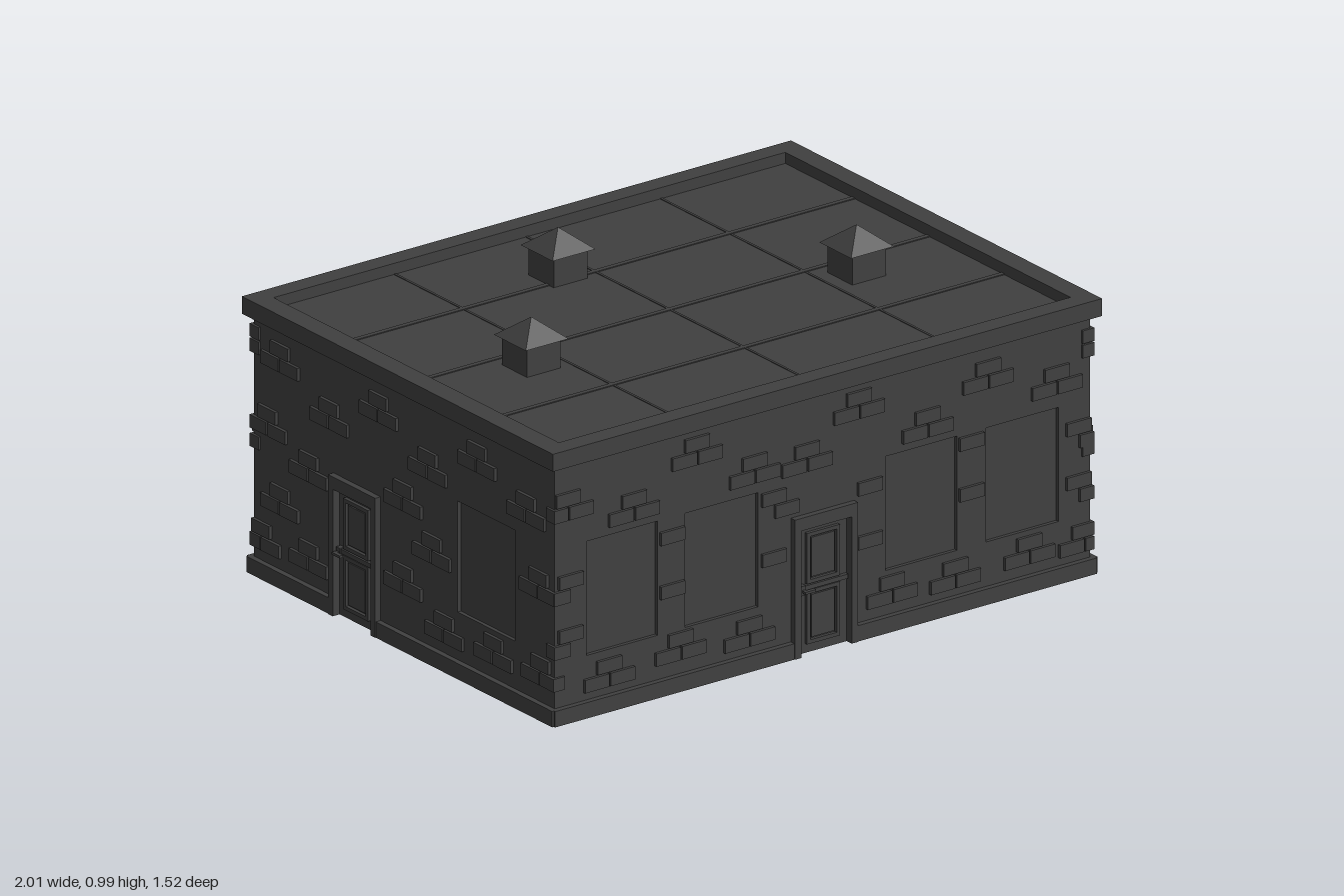
import * as THREE from 'three';
import { mergeGeometries } from 'three/addons/utils/BufferGeometryUtils.js';

const material = new THREE.MeshStandardMaterial({ color: 0x404040, flatShading: true });
const WALL_TOP = 0.83, PLINTH = 0.05, THICK = 0.02;
const DOOR_HALF = 0.115, DOOR_TOP = 0.44;

function add(parent, name, geometry, x = 0, y = 0, z = 0) {
  const mesh = new THREE.Mesh(geometry, material);
  mesh.name = name;
  mesh.position.set(x, y, z);
  parent.add(mesh);
  return mesh;
}

// Box given by its limits
function block(x0, x1, y0, y1, z0, z1) {
  return new THREE.BoxGeometry(x1 - x0, y1 - y0, z1 - z0)
    .translate((x0 + x1) / 2, (y0 + y1) / 2, (z0 + z1) / 2);
}

function rectangle(Type, x0, x1, y0, y1) {
  const r = new Type();
  r.moveTo(x0, y0).lineTo(x1, y0).lineTo(x1, y1).lineTo(x0, y1).closePath();
  return r;
}

// Rectangular ring extruded along z
function ring(outer, inner, depth) {
  const shape = rectangle(THREE.Shape, ...outer);
  shape.holes.push(rectangle(THREE.Path, ...inner));
  return new THREE.ExtrudeGeometry(shape, { depth, bevelEnabled: false });
}

// Raised stones: one brick above two, trimmed at corners and left out over openings
function bricks(half, clusters, openings) {
  const parts = [];
  const brick = (u, y) => {
    const u0 = Math.max(u - 0.044, -half - 0.008), u1 = Math.min(u + 0.044, half + 0.008);
    const y0 = y + 0.002, y1 = y + 0.043;
    const blocked = openings.some(([a, b, c, d]) => u1 > a && u0 < b && y1 > c && y0 < d);
    if (u1 - u0 > 0.02 && !blocked) parts.push(block(u0, u1, y0, y1, -0.032, 0.01));
  };
  for (const [u, y] of clusters) {
    brick(u, y);
    brick(u - 0.047, y - 0.046);
    brick(u + 0.047, y - 0.046);
  }
  return mergeGeometries(parts);
}

// Panelled door with surround and handle
function makeDoor(u) {
  const door = new THREE.Group();
  door.name = 'door';
  add(door, 'doorLeaf', block(-0.092, 0.092, 0, 0.4, -0.02, -0.005));
  for (const s of [-1, 1]) {
    add(door, 'doorJamb', block(s * 0.1035 - 0.0115, s * 0.1035 + 0.0115, 0, 0.4, -0.022, 0.02));
  }
  add(door, 'doorLintel', block(-DOOR_HALF, DOOR_HALF, 0.4, DOOR_TOP, -0.022, 0.02));
  for (const [y0, y1] of [[0.03, 0.2], [0.22, 0.38]]) {
    add(door, 'panelFrame', ring([-0.06, 0.06, y0, y1], [-0.048, 0.048, y0 + 0.012, y1 - 0.012], 0.012), 0, 0, -0.006);
    add(door, 'doorPanel', block(-0.042, 0.042, y0 + 0.018, y1 - 0.018, -0.006, 0.002));
  }
  add(door, 'middleRail', block(-0.088, 0.088, 0.203, 0.217, -0.006, 0.008));
  add(door, 'handlePlate', block(-0.086, -0.068, 0.19, 0.22, -0.006, 0.012));
  add(door, 'handle', block(-0.084, -0.045, 0.2, 0.208, 0.018, 0.03));
  add(door, 'handleStem', block(-0.082, -0.073, 0.2, 0.208, 0.008, 0.02));
  door.position.x = u;
  return door;
}

// One wall in its own frame: u to the right, outward is +z
function makeWall(name, half, windows, doorAt, clusters) {
  const wall = new THREE.Group();
  wall.name = name;
  const hasDoor = doorAt !== null;
  const shape = new THREE.Shape();
  shape.moveTo(-half, 0);
  if (hasDoor) {
    const a = doorAt - DOOR_HALF + 0.01, b = doorAt + DOOR_HALF - 0.01, top = DOOR_TOP - 0.02;
    shape.lineTo(a, 0).lineTo(a, top).lineTo(b, top).lineTo(b, 0);
  }
  shape.lineTo(half, 0).lineTo(half, WALL_TOP).lineTo(-half, WALL_TOP).closePath();
  windows.forEach(w => shape.holes.push(rectangle(THREE.Path, ...w)));
  add(wall, 'wallPanel', new THREE.ExtrudeGeometry(shape, { depth: THICK, bevelEnabled: false }), 0, 0, -THICK);

  // Blind windows set back in their openings
  for (const [a, b, c, d] of windows) {
    add(wall, 'windowPanel', block(a - 0.006, b + 0.006, c - 0.006, d + 0.006, -0.026, -0.012));
  }

  // Plinth, broken at the doorway
  const end = half + 0.012;
  const runs = hasDoor ? [[-end, doorAt - DOOR_HALF], [doorAt + DOOR_HALF, end]] : [[-end, end]];
  for (const [a, b] of runs) add(wall, 'plinth', block(a, b, 0, PLINTH, -0.03, 0.018));

  const openings = [...windows];
  if (hasDoor) {
    openings.push([doorAt - DOOR_HALF, doorAt + DOOR_HALF, 0, DOOR_TOP]);
    wall.add(makeDoor(doorAt));
  }
  add(wall, 'raisedBricks', bricks(half, clusters, openings));
  return wall;
}

// Roof vent with pyramid cap
function makeVent(x, z) {
  const vent = new THREE.Group();
  vent.name = 'roofVent';
  add(vent, 'ventBox', block(-0.061, 0.061, 0.82, 0.93, -0.061, 0.061));
  const cap = new THREE.ConeGeometry(0.078 * Math.SQRT2, 0.063, 4, 1).rotateY(Math.PI / 4);
  add(vent, 'ventCap', cap, 0, 0.957, 0);
  vent.position.set(x, 0, z);
  return vent;
}

export function createModel() {
  const model = new THREE.Group();
  model.name = 'stoneBuilding';
  const W = 0.975, D = 0.733;

  // Walls
  const front = makeWall('frontWall', W,
    [[-0.86, -0.6, 0.19, 0.55], [-0.5, -0.235, 0.19, 0.55], [0.23, 0.49, 0.19, 0.55], [0.595, 0.86, 0.19, 0.55]], 0,
    [[-0.93, 0.68], [-0.69, 0.62], [-0.46, 0.74], [-0.25, 0.63], [-0.06, 0.62], [0.13, 0.74], [0.38, 0.62],
     [0.6, 0.72], [0.85, 0.64], [-0.92, 0.42], [-0.92, 0.25], [-0.55, 0.47], [-0.55, 0.3], [-0.18, 0.5],
     [-0.18, 0.31], [0.17, 0.45], [0.17, 0.28], [0.54, 0.5], [0.54, 0.34], [0.93, 0.45], [0.93, 0.28],
     [-0.78, 0.12], [-0.52, 0.14], [-0.27, 0.12], [0.25, 0.13], [0.48, 0.12], [0.75, 0.13], [0.95, 0.12]]);
  front.position.z = D;

  const right = makeWall('rightHandWall', D,
    [[-0.64, -0.34, 0.215, 0.55], [-0.13, 0.135, 0.595, 0.79], [0.345, 0.61, 0.19, 0.55]], null,
    [[-0.4, 0.6], [-0.24, 0.715], [-0.7, 0.73], [0.24, 0.76], [0.3, 0.6], [0.55, 0.6], [-0.115, 0.5],
     [0, 0.395], [0.22, 0.455], [-0.11, 0.225], [0.235, 0.235], [-0.335, 0.14], [0.005, 0.125],
     [0.435, 0.12], [0.63, 0.13], [0.69, 0.45], [-0.69, 0.42], [0.69, 0.76]]);
  right.rotation.y = Math.PI / 2;
  right.position.x = W;

  const back = makeWall('backWall', W,
    [[-0.85, -0.59, 0.6, 0.8], [-0.12, 0.14, 0.6, 0.8], [0.6, 0.86, 0.6, 0.8]], null,
    [[-0.44, 0.74], [-0.27, 0.62], [0.27, 0.73], [0.45, 0.62], [-0.92, 0.52], [-0.66, 0.5], [-0.48, 0.56],
     [-0.4, 0.42], [-0.18, 0.5], [0.06, 0.54], [0.28, 0.48], [0.53, 0.46], [0.76, 0.52], [0.93, 0.44],
     [-0.8, 0.33], [-0.58, 0.29], [-0.3, 0.27], [-0.06, 0.36], [0.16, 0.31], [0.4, 0.33], [0.64, 0.31],
     [0.84, 0.27], [-0.9, 0.16], [-0.68, 0.13], [-0.42, 0.13], [-0.14, 0.18], [0.1, 0.13], [0.33, 0.17],
     [0.58, 0.13], [0.9, 0.13], [-0.94, 0.74], [0.94, 0.74]]);
  back.rotation.y = Math.PI;
  back.position.z = -D;

  const left = makeWall('leftHandWall', D, [[0.26, 0.54, 0.2, 0.55]], -0.23,
    [[-0.6, 0.72], [-0.36, 0.62], [-0.12, 0.72], [0.12, 0.62], [0.36, 0.72], [0.6, 0.64], [-0.66, 0.5],
     [-0.46, 0.42], [0, 0.48], [0.14, 0.36], [0.66, 0.42], [-0.6, 0.27], [-0.46, 0.14], [0, 0.22],
     [0.2, 0.13], [0.44, 0.14], [0.67, 0.15], [-0.69, 0.13]]);
  left.rotation.y = -Math.PI / 2;
  left.position.x = -W;
  model.add(front, right, back, left);

  // Cornice and parapet ring round a sunken roof
  const cornice = ring([-1, 1, -0.758, 0.758], [-0.932, 0.932, -0.695, 0.695], 0.055);
  add(model, 'cornice', cornice.rotateX(-Math.PI / 2), 0, 0.812, 0);
  add(model, 'roofDeck', block(-0.94, 0.94, 0.812, 0.832, -0.7, 0.7));

  // Low seams between the roof sheets
  for (const x of [-0.49, -0.01, 0.48]) add(model, 'roofSeam', block(x - 0.004, x + 0.004, 0.83, 0.834, -0.695, 0.695));
  for (const z of [-0.362, 0.002, 0.365]) add(model, 'roofSeam', block(-0.932, 0.932, 0.83, 0.835, z - 0.008, z + 0.008));

  // Vents
  for (const [x, z] of [[-0.595, 0.11], [-0.12, -0.395], [0.59, 0.11]]) model.add(makeVent(x, z));
  return model;
}
